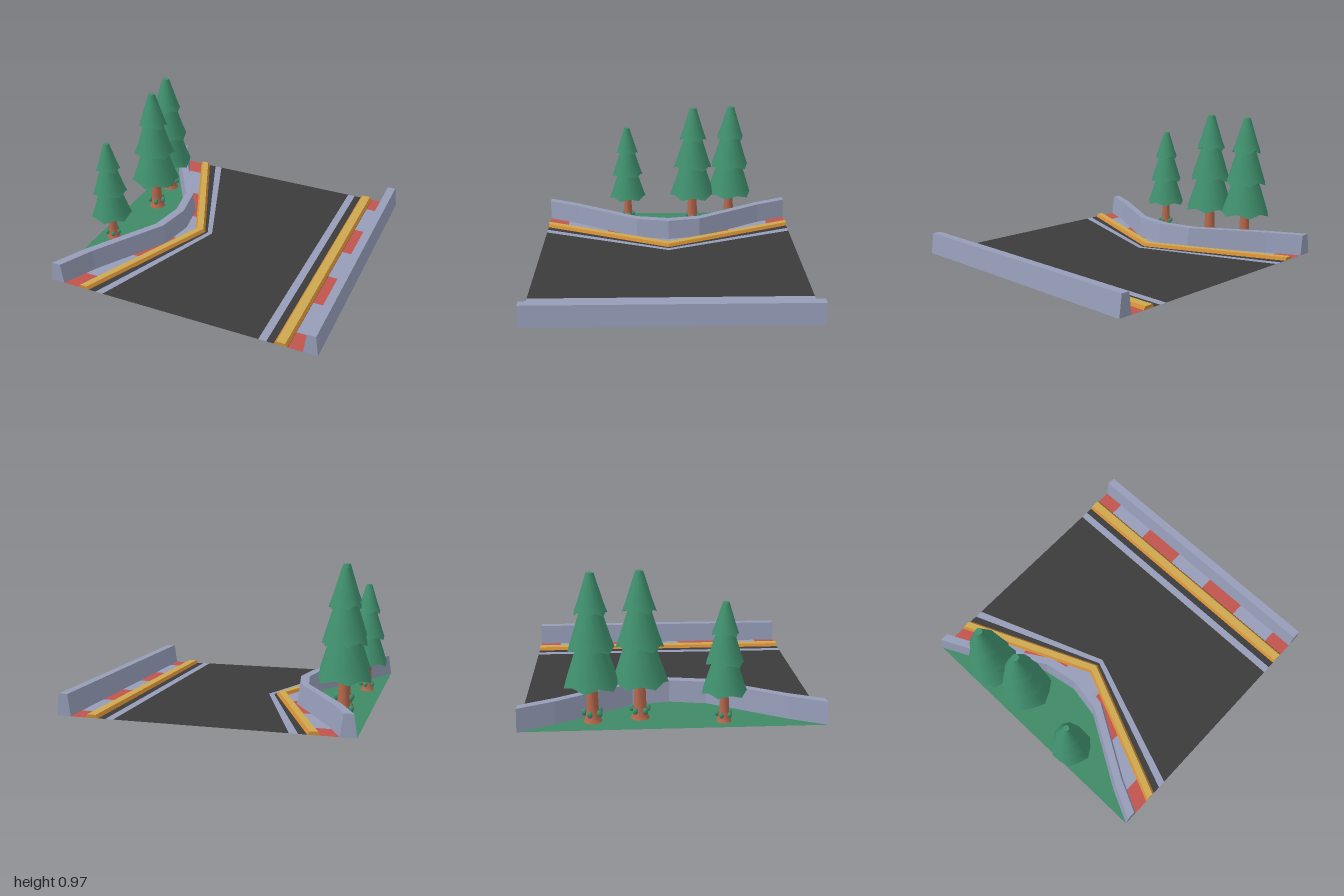
import * as THREE from 'three';
import { toCreasedNormals } from 'three/addons/utils/BufferGeometryUtils.js';

const mat = (name, color, side = THREE.DoubleSide) => {
  const m = new THREE.MeshStandardMaterial({ color, side });
  m.name = name;
  return m;
};
const END = 0.98;

// x as a function of z, mirrored front to back, from [|z|, x] points
const rail = (pts) => (z) => {
  const a = Math.abs(z);
  let i = 1;
  while (i < pts.length - 1 && a > pts[i][0]) i++;
  const [z0, x0] = pts[i - 1], [z1, x1] = pts[i];
  return x0 + ((x1 - x0) * (a - z0)) / (z1 - z0);
};
const line = (x) => () => x;

// surface through rails [xFunction, height], listed left to right
function sweep(rails, zs, caps = false) {
  const pos = [];
  const at = (r, z) => [r[0](z), r[1], z];
  for (let i = 0; i < zs.length - 1; i++) {
    for (let j = 0; j < rails.length - 1; j++) {
      const a0 = at(rails[j], zs[i]), a1 = at(rails[j], zs[i + 1]);
      const b0 = at(rails[j + 1], zs[i]), b1 = at(rails[j + 1], zs[i + 1]);
      pos.push(...a0, ...a1, ...b1, ...a0, ...b1, ...b0);
    }
  }
  if (caps) {
    const f = rails.map((r) => at(r, zs[zs.length - 1]));
    const b = rails.map((r) => at(r, zs[0]));
    pos.push(...f[0], ...f[2], ...f[1], ...f[0], ...f[3], ...f[2]);
    pos.push(...b[0], ...b[1], ...b[2], ...b[0], ...b[2], ...b[3]);
  }
  const g = new THREE.BufferGeometry();
  g.setAttribute('position', new THREE.Float32BufferAttribute(pos, 3));
  g.computeVertexNormals();
  return g;
}

function lathe(points, sides) {
  return new THREE.LatheGeometry(points.map(([x, y]) => new THREE.Vector2(x, y)), sides);
}

export function createModel() {
  const group = new THREE.Group();
  const asphalt = mat('asphalt', 0x3b3b3b);
  const grey = mat('concrete grey', 0x969db8);
  const red = mat('kerb red', 0xbf534d);
  const gold = mat('gold', 0xcca750);
  const orange = mat('orange', 0xcf8a33);
  const grass = mat('grass green', 0x3f8a67);
  const leaf = mat('foliage green', 0x3f8f6d, THREE.FrontSide);
  const bark = mat('bark', 0xb5674c);

  const add = (name, geo, material, parent = group) => {
    const m = new THREE.Mesh(geo, material);
    m.name = name;
    parent.add(m);
    return m;
  };

  const straight = [-END, END];
  const bend = [-END, 0, END];
  const curve = [-END, -0.75, -0.25, 0, 0.25, 0.75, END];
  const shift = (f, d) => (z) => f(z) + d;

  const wallOuter = rail([[0, -0.505], [0.25, -0.55], [0.75, -0.855], [END, -0.967]]);
  const wallInner = shift(wallOuter, 0.103);
  const kerbOuter = rail([[0, -0.325], [END, -0.75]]);
  const lineL = rail([[0, -0.222], [END, -0.612]]);
  const lineR = rail([[0, -0.185], [END, -0.555]]);

  // Flat ground
  const flat = (name, a, b, zs, m) => add(name, sweep([[a, 0], [b, 0]], zs), m);
  flat('grassVerge', line(-0.967), wallOuter, curve, grass);
  flat('roadShoulderBend', kerbOuter, lineL, bend, asphalt);
  flat('edgeLineBend', lineL, lineR, bend, grey);
  flat('roadSurface', lineR, line(0.6), bend, asphalt);
  flat('edgeLineStraight', line(0.6), line(0.655), straight, grey);
  flat('roadShoulderStraight', line(0.655), line(0.8), straight, asphalt);
  flat('wallFooting', line(0.9), line(1), straight, asphalt);

  // Red and grey striped run-off on both sides
  const cuts = [-END, -0.82, -0.49, -0.165, 0.165, 0.49, 0.82, END];
  for (let i = 0; i < cuts.length - 1; i++) {
    const z0 = cuts[i], z1 = cuts[i + 1];
    const m = i % 2 ? grey : red;
    const zs = [z0, ...curve.filter((z) => z > z0 && z < z1), z1];
    flat('stripeStraight', line(0.8), line(0.9), [z0, z1], m);
    flat('stripeBend', wallInner, kerbOuter, zs, m);
  }

  // Low raised kerbs: orange flanks and ends, gold top
  const kerb = (name, f, w, zs) => {
    const r = [[f, 0], [shift(f, 0.016), 0.022], [shift(f, w - 0.016), 0.022], [shift(f, w), 0]];
    add(name + 'LeftFlank', sweep([r[0], r[1]], zs), orange);
    add(name + 'Top', sweep([r[1], r[2]], zs), gold);
    add(name + 'RightFlank', sweep([r[2], r[3]], zs), orange);
    for (const z of [-END, END]) {
      const s = new THREE.Shape(r.map(([x, y]) => new THREE.Vector2(x(z), y)));
      const g = new THREE.ShapeGeometry(s);
      if (z < 0) g.rotateY(Math.PI).scale(1, 1, 1).translate(2 * f(z) + w, 0, 0);
      add(name + 'End', g.translate(0, 0, z), orange);
    }
  };
  kerb('kerbBend', kerbOuter, 0.083, bend);
  kerb('kerbStraight', line(0.705), 0.093, straight);

  // Barrier walls with sloping sides
  const wall = (name, f, w, zs) => add(name, sweep(
    [[f, 0], [shift(f, 0.02), 0.147], [shift(f, w - 0.02), 0.147], [shift(f, w), 0]], zs, true), grey);
  wall('barrierBend', wallOuter, 0.103, curve);
  wall('barrierStraight', line(0.9), 0.1, straight);

  // Fir trees: three tiers with zigzag hems
  const SIDES = 12;
  const tier = (rTop, yTop, rHem, yHem) => {
    const h = yTop - yHem;
    const g = lathe([[0, yHem + 0.035], [rHem, yHem], [rTop + (rHem - rTop) * 0.7, yHem + h * 0.27],
      [rTop, yTop], [0, yTop]], SIDES);
    const p = g.attributes.position;
    for (let i = 0; i < p.count; i++) {
      const step = Math.floor(i / 5) % SIDES;
      if (i % 5 === 1 && step % 2) {
        p.setXYZ(i, p.getX(i) * 0.93, p.getY(i) + 0.025, p.getZ(i) * 0.93);
      }
    }
    return toCreasedNormals(g, 0.8);
  };
  const tree = (x, z, s, turn) => {
    const t = new THREE.Group();
    t.name = 'tree';
    add('trunk', toCreasedNormals(
      lathe([[0.062, 0], [0.047, 0.03], [0.04, 0.1], [0.032, 0.29]], 10), 0.8), bark, t);
    add('lowerFoliage', tier(0.088, 0.53, 0.185, 0.243), leaf, t);
    add('middleFoliage', tier(0.062, 0.76, 0.155, 0.478), leaf, t);
    add('topFoliage', tier(0.025, 0.973, 0.11, 0.712), leaf, t);
    // leafy tufts round the foot of the trunk
    for (let i = 0; i < 5; i++) {
      const a = (i / 5) * Math.PI * 2;
      const tuft = add('tuft', new THREE.SphereGeometry(0.019, 6, 5), leaf, t);
      tuft.position.set(Math.cos(a) * 0.055, 0.06, Math.sin(a) * 0.055);
      tuft.scale.y = 1.25;
    }
    t.position.set(x, 0, z);
    t.scale.setScalar(s);
    t.rotation.y = turn;
    group.add(t);
  };
  tree(-0.81, -0.51, 1, 0.3);
  tree(-0.77, -0.205, 1, 0);
  tree(-0.855, 0.33, 0.81, 0.15);

  return group;
}
